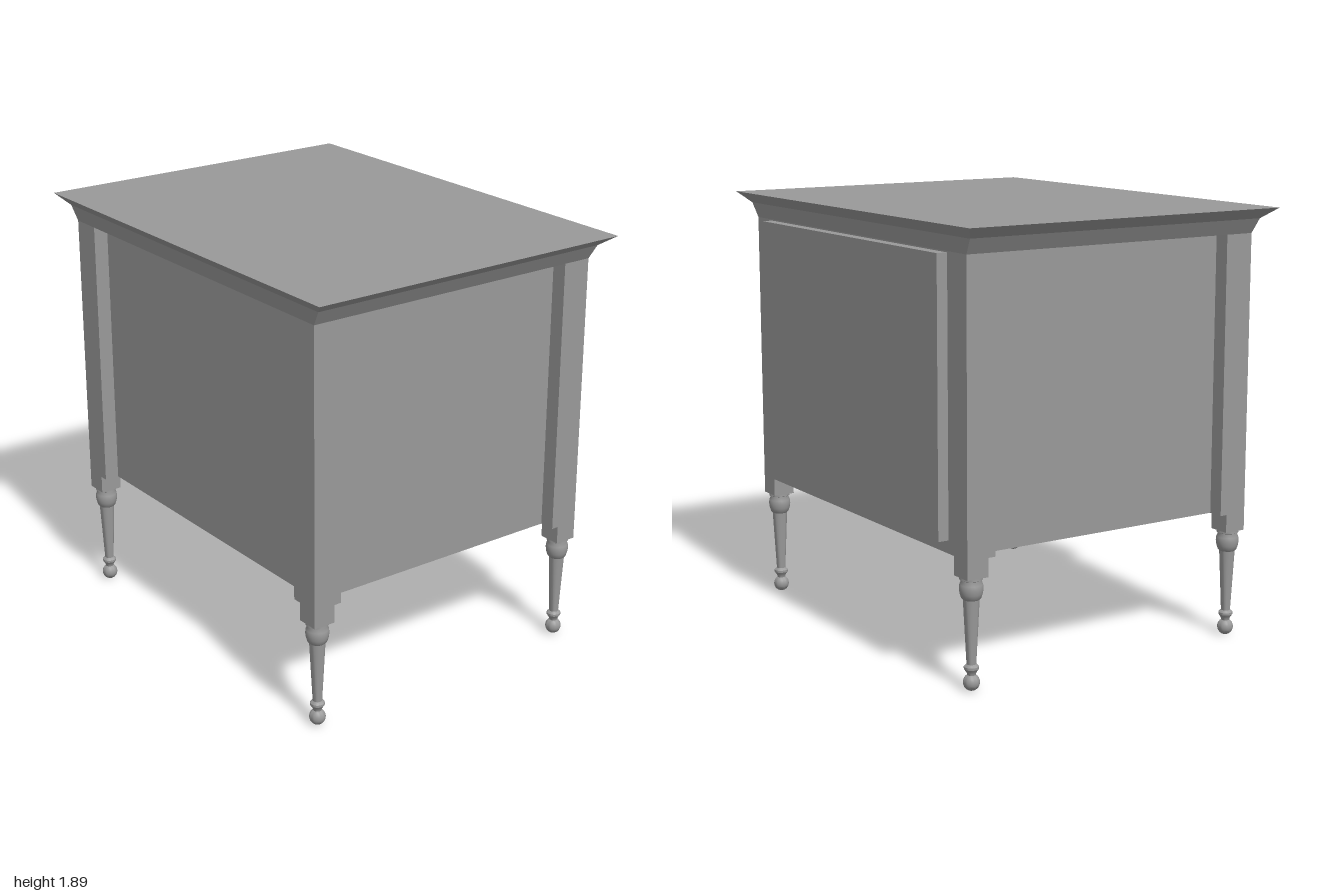
import * as THREE from 'three';
import { toCreasedNormals } from 'three/addons/utils/BufferGeometryUtils.js';

export function createModel() {
  const model = new THREE.Group();
  model.name = 'cabinet';
  const paint = new THREE.MeshStandardMaterial({ color: 0x999999 });
  paint.name = 'plain grey';

  const add = (name, geometry, parent = model) => {
    const mesh = new THREE.Mesh(geometry, paint);
    mesh.name = name;
    parent.add(mesh);
    return mesh;
  };
  // Box given by its minimum and maximum corners
  const box = (name, [x0, y0, z0], [x1, y1, z1], parent) => {
    const mesh = add(name, new THREE.BoxGeometry(x1 - x0, y1 - y0, z1 - z0), parent);
    mesh.position.set((x0 + x1) / 2, (y0 + y1) / 2, (z0 + z1) / 2);
    return mesh;
  };

  const W = 0.89, D = 0.717;        // half width and depth over the posts
  const BOTTOM = 0.56, TOP = 1.78;  // carcass height range

  // Carcass: recessed at the front and sides, flush at the back
  box('carcass', [-W + 0.07, BOTTOM, -D], [W - 0.07, TOP, D - 0.066]);

  // Raised panel on the back
  box('backPanel', [-0.75, 0.615, -0.765], [0.75, 1.775, -D]);

  // Flared cornice: a box whose three levels are resized
  const levels = [[W, TOP, D], [0.93, 1.845, 0.726], [1, 1.893, 0.773]];
  const cornice = new THREE.BoxGeometry(2, 2, 2, 1, 2, 1);
  const p = cornice.attributes.position;
  for (let i = 0; i < p.count; i++) {
    const [x, y, z] = levels[Math.round(p.getY(i)) + 1];
    p.setXYZ(i, Math.sign(p.getX(i)) * x, y, Math.sign(p.getZ(i)) * z);
  }
  add('cornice', toCreasedNormals(cornice, 0.02));

  // Turned foot: ball, ring, tapered shaft, bulb and collar
  const profile = [];
  for (let i = 0; i <= 10; i++) {
    const a = (i / 10) * Math.PI * 0.83;
    profile.push([0.035 * Math.sin(a), 0.036 - 0.036 * Math.cos(a)]);
  }
  profile.push(
    [0.019, 0.074], [0.024, 0.083], [0.031, 0.093], [0.031, 0.103], [0.026, 0.108],
    [0.020, 0.113], [0.034, 0.385], [0.041, 0.392], [0.047, 0.41], [0.05, 0.43],
    [0.048, 0.448], [0.042, 0.462], [0.042, 0.466], [0.048, 0.469], [0.048, 0.482]
  );
  const footGeometry = toCreasedNormals(
    new THREE.LatheGeometry(profile.map(([r, y]) => new THREE.Vector2(r, y)), 24), 0.6);

  // Corner posts, each with a smaller square block and a turned foot below
  for (const sx of [1, -1]) {
    for (const sz of [1, -1]) {
      const corner = new THREE.Group();
      corner.name = (sz > 0 ? 'front' : 'back') + (sx > 0 ? 'Left' : 'Right') + 'Leg';
      model.add(corner);
      const span = (name, w, d, y0, y1) => {
        const mesh = box(name, [-w / 2, y0, -d / 2], [w / 2, y1, d / 2], corner);
        mesh.position.x = sx * (W - w / 2);
        mesh.position.z = sz * (D - d / 2);
      };
      span('post', 0.14, 0.133, BOTTOM, TOP);
      span('block', 0.1, 0.1, 0.48, BOTTOM);
      add('turnedFoot', footGeometry, corner).position.set(sx * (W - 0.05), 0, sz * (D - 0.05));
    }
  }
  return model;
}
